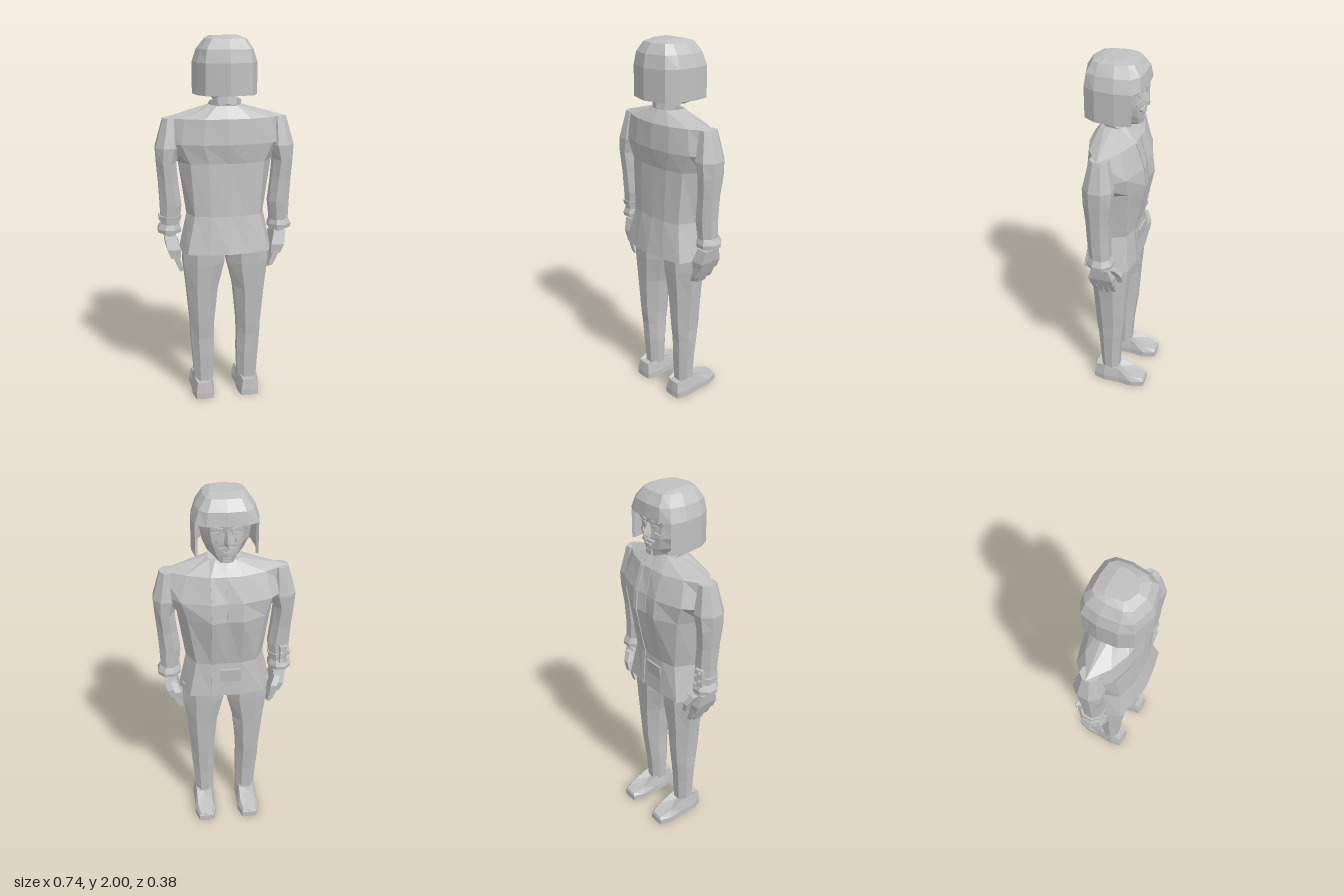
import * as THREE from 'three';

const grey = new THREE.MeshStandardMaterial({ color: 0xc0c0c0 });
grey.name = 'plain grey';

function add(parent, name, geo) {
  const flat = geo.index ? geo.toNonIndexed() : geo;
  flat.computeVertexNormals(); // faceted look
  const m = new THREE.Mesh(flat, grey);
  m.name = name;
  parent.add(m);
  return m;
}

function box(parent, name, size, pos, rot = [0, 0, 0]) {
  const m = add(parent, name, new THREE.BoxGeometry(...size));
  m.position.set(...pos);
  m.rotation.set(...rot);
  return m;
}

// Skin closed rings, listed from bottom to top, and cap both ends
function loft(rings) {
  const n = rings[0].length, pos = [];
  const tri = (...p) => p.forEach(v => pos.push(...v));
  for (let r = 0; r < rings.length - 1; r++) {
    const a = rings[r], b = rings[r + 1];
    for (let i = 0; i < n; i++) {
      const j = (i + 1) % n;
      tri(a[i], b[i], b[j]);
      tri(a[i], b[j], a[j]);
    }
  }
  const mid = ring => [0, 1, 2].map(k => ring.reduce((s, p) => s + p[k], 0) / n);
  const lo = rings[0], hi = rings[rings.length - 1], cl = mid(lo), ch = mid(hi);
  for (let i = 0; i < n; i++) {
    const j = (i + 1) % n;
    tri(cl, lo[i], lo[j]);
    tri(ch, hi[j], hi[i]);
  }
  const g = new THREE.BufferGeometry();
  g.setAttribute('position', new THREE.Float32BufferAttribute(pos, 3));
  return g;
}

// Symmetric ring from half an outline, back to front: [x, z, optional y]
function ring(y, half, cx = 0) {
  const left = half.map(([x, z, h = y]) => [cx - x, h, z]);
  const right = half.filter(p => p[0] > 0).reverse().map(([x, z, h = y]) => [cx + x, h, z]);
  return [...left, ...right];
}

// Many-sided limb; rows are [y, centre x, half width, centre z, half depth]
function limb(rows, side, sides = 8) {
  return loft(rows.map(([y, cx, rx, cz, rz]) => Array.from({ length: sides }, (_, i) => {
    const t = (i + 0.5) / sides * Math.PI * 2, k = 1 / Math.cos(Math.PI / sides);
    return [cx * side + Math.cos(t) * rx * k, y, cz + Math.sin(t) * rz * k];
  })));
}

function buildTorso(g) {
  add(g, 'jacket', loft([
    ring(0.88, [[0, .178], [.11, .165], [.22, .14], [.255, .02], [.2, -.1], [.08, -.115], [0, -.115]]),
    ring(1.08, [[0, .14], [.09, .135], [.175, .11], [.21, .02], [.16, -.08], [.08, -.1], [0, -.1]]),
    ring(1.36, [[0, .127], [.1, .125], [.195, .1], [.25, .02], [.2, -.1], [.08, -.157], [0, -.145]]),
    ring(1.46, [[0, .147], [.13, .135], [.24, .1], [.34, .015], [.23, -.1], [.08, -.145], [0, -.135]]),
    ring(1.59, [[0, .138], [.12, .125], [.22, .09], [.325, .015], [.2, -.06], [.08, -.1], [0, -.1]]),
    ring(1.655, [[0, .09], [.05, .085], [.08, .06], [.09, .02], [.08, -.02], [.05, -.04], [0, -.045]]),
  ]));
  // Raised front strip, upper seam and pocket
  add(g, 'jacketStrip', limb([[.88, .07, .012, -.115, .006], [1.08, .07, .012, -.1, .006],
    [1.36, .07, .012, -.155, .006], [1.46, .07, .012, -.144, .006], [1.59, .07, .012, -.1, .006]], 1, 4));
  add(g, 'jacketSeam', limb([[1.36, 0, .003, -.145, .004], [1.46, 0, .003, -.135, .004],
    [1.59, 0, .003, -.1, .004]], 1, 4));
  box(g, 'pocket', [.11, .09, .008], [-.02, 1.0, -.107], [-.07, 0, 0]);
  // Neck and tilted collar
  const neck = add(g, 'neck', new THREE.CylinderGeometry(.052, .058, .16, 8));
  neck.position.set(0, 1.69, .015);
  const collar = add(g, 'collar', new THREE.CylinderGeometry(.088, .078, .04, 10));
  collar.position.set(0, 1.65, .025);
  collar.rotation.x = -0.4;
}

function buildHead(g) {
  add(g, 'face', loft([
    ring(1.67, [[0, -.02], [.03, -.03], [.045, -.05], [.03, -.098], [0, -.108]]),
    ring(1.71, [[0, .05], [.07, .04], [.09, -.02], [.05, -.1], [0, -.116]]),
    ring(1.77, [[0, .1], [.1, .06], [.115, -.03], [.07, -.1], [0, -.12]]),
    ring(1.83, [[0, .1], [.1, .06], [.125, -.03], [.08, -.094], [0, -.112]]),
    ring(1.89, [[0, .1], [.1, .06], [.125, -.03], [.085, -.1], [0, -.12]]),
  ]));
  add(g, 'nose', loft([
    ring(1.765, [[0, -.1], [.02, -.112], [0, -.143]]),
    ring(1.785, [[0, -.1], [.018, -.112], [0, -.147]]),
    ring(1.84, [[0, -.1], [.008, -.108], [0, -.122]]),
  ]));
  for (const s of [-1, 1]) {
    box(g, 'brow', [.05, .014, .016], [s * .045, 1.85, -.109], [0, -s * .2, s * .15]);
    box(g, 'eye', [.032, .012, .008], [s * .042, 1.825, -.107], [0, -s * .2, 0]);
    box(g, 'cheek', [.035, .02, .012], [s * .055, 1.785, -.104], [0, -s * .4, -s * .3]);
    box(g, 'moustache', [.042, .012, .016], [s * .022, 1.752, -.118], [0, -s * .3, -s * .25]);
  }
  box(g, 'lip', [.04, .01, .014], [0, 1.73, -.117]);
  box(g, 'chin', [.04, .025, .02], [0, 1.69, -.106]);

  // Rounded crown
  add(g, 'crown', loft([
    ring(1.87, [[0, .184], [.12, .148], [.156, .085], [.167, -.014], [.152, -.1], [.1, -.13], [0, -.137]]),
    ring(1.935, [[0, .17], [.11, .138], [.135, .085], [.145, -.01], [.13, -.088], [.09, -.12], [0, -.128]]),
    ring(1.985, [[0, .137], [.08, .115], [.1, .08], [.105, 0], [.095, -.06], [.07, -.085], [0, -.09]]),
    ring(2.0, [[0, .095], [.045, .08], [.065, .06], [.075, .01], [.075, -.02], [.06, -.03], [0, -.035]]),
  ]));
  // Lower wall wraps the back and sides, open at the face
  const outer = [[.152, -.1], [.167, -.014], [.156, .085], [.12, .148]];
  const inner = [[.14, -.09], [.15, -.014], [.14, .075], [.108, .132]];
  const neg = pts => pts.map(([x, z]) => [-x, z]).reverse();
  const outline = [...outer, [0, .184], ...neg(outer),
    ...neg(inner).reverse(), [0, .165], ...inner.slice().reverse()];
  const wall = new THREE.ExtrudeGeometry(
    new THREE.Shape(outline.map(p => new THREE.Vector2(...p))), { depth: .16, bevelEnabled: false });
  wall.rotateX(Math.PI / 2).translate(0, 1.87, 0);
  add(g, 'sideAndBackHair', wall);
}

function buildArm(g, s) {
  add(g, 'sleeve', limb([
    [1.0, .3, .047, .015, .053], [1.13, .294, .056, .02, .058], [1.25, .304, .052, .02, .06],
    [1.36, .313, .051, .018, .07], [1.44, .302, .066, .016, .075], [1.59, .288, .038, .015, .045],
  ], s));
  add(g, 'cuff', limb([[.98, .303, .06, .012, .064], [1.0, .303, .062, .012, .066], [1.03, .3, .05, .014, .055]], s));
  add(g, 'wrist', limb([[.94, .298, .028, .012, .035], [.99, .298, .028, .012, .035]], s, 6));
  // Hand slants inward toward the thighs
  add(g, 'palm', limb([[.84, .275, .026, .012, .062], [.89, .285, .036, .012, .066], [.96, .3, .032, .012, .045]], s, 4));
  for (let i = 0; i < 4; i++) {
    const z = .062 - i * .033, tip = .755 + (i === 0 || i === 3 ? .015 : 0);
    add(g, 'finger', limb([[tip, .243, .01, z, .012], [.79, .253, .014, z, .014], [.85, .275, .017, z, .015]], s, 4));
  }
  add(g, 'thumb', limb([[.85, .25, .012, -.076, .012], [.9, .262, .017, -.074, .017], [.95, .285, .018, -.045, .018]], s, 4));
}

function buildLeg(g, s) {
  add(g, 'trouserLeg', limb([
    [.09, .125, .053, .022, .05], [.25, .127, .061, .022, .06], [.36, .132, .064, .018, .068],
    [.43, .132, .065, .018, .077], [.65, .131, .085, .018, .09], [.8, .121, .111, .018, .102],
    [.92, .118, .116, .018, .108],
  ], s));
  const sole = [[0, .115], [.048, .112], [.062, .05], [.058, -.04], [.063, -.12], [.042, -.19], [0, -.192]];
  add(g, 'shoe', loft([
    ring(0, sole, s * .13),
    ring(.035, sole, s * .13),
    ring(.1, [[0, .108, .095], [.038, .105, .095], [.05, .05, .11], [.045, -.035, .1],
      [.046, -.115, .068], [.032, -.182, .05], [0, -.186, .05]], s * .13),
  ]));
}

// Small device strapped to one forearm
function buildWristDevice(g) {
  add(g, 'deviceStrap', limb([[1.05, .3, .058, .016, .061], [1.075, .299, .06, .017, .063]], -1));
  box(g, 'devicePlate', [.045, .1, .02], [-.315, 1.08, -.045], [0, .25, 0]);
  for (let i = 0; i < 4; i++) {
    box(g, 'deviceStud', [.016, .014, .014], [-.3 - (i % 2) * .03, 1.045 + i * .025, -.056], [.4, .4, .3]);
  }
}

export function createModel() {
  const model = new THREE.Group();
  model.name = 'standingFigure';
  const part = (name, build, ...args) => {
    const g = new THREE.Group();
    g.name = name;
    build(g, ...args);
    model.add(g);
  };
  part('torso', buildTorso);
  part('head', buildHead);
  for (const [side, s] of [['left', 1], ['right', -1]]) {
    part(side + 'Arm', buildArm, s);
    part(side + 'Leg', buildLeg, s);
  }
  part('wristDevice', buildWristDevice);
  return model;
}
